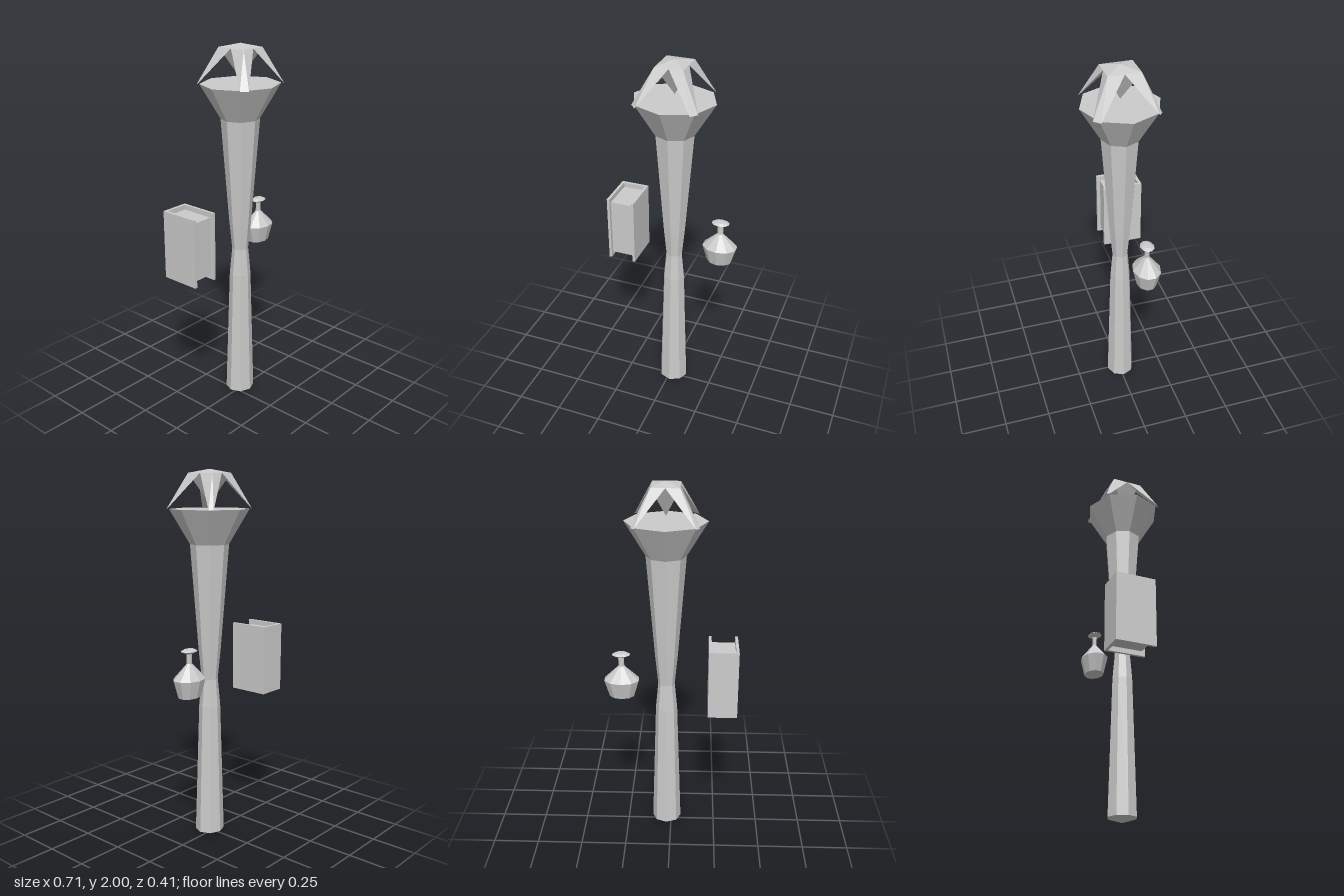
import * as THREE from 'three';
import { ConvexGeometry } from 'three/addons/geometries/ConvexGeometry.js';

const material = new THREE.MeshStandardMaterial({ color: 0xcccccc, flatShading: true, side: THREE.DoubleSide });

function part(name, geometry, x = 0, y = 0, z = 0) {
  const mesh = new THREE.Mesh(geometry, material);
  mesh.name = name;
  mesh.position.set(x, y, z);
  return mesh;
}

// Faceted turned shape from [radius, height] pairs
function turned(profile, sides) {
  return new THREE.LatheGeometry(profile.map(([r, y]) => new THREE.Vector2(r, y)), sides);
}

function hull(points) {
  return new ConvexGeometry(points.map((p) => new THREE.Vector3(...p)));
}

function createStaff() {
  const staff = new THREE.Group();
  staff.name = 'staff';
  staff.position.x = 0.025;

  // Octagonal shaft flaring into the flat-topped head
  const shaft = part('shaft', turned([
    [0, 0], [0.081, 0.025], [0.059, 0.75], [0.045, 0.9],
    [0.061, 1.06], [0.105, 1.62], [0.214, 1.8], [0, 1.8],
  ], 8));
  shaft.scale.z = 0.95;
  staff.add(shaft);

  // Pyramid cap with a spike hanging below
  const w = 0.072, d = 0.083, top = 1.98;
  staff.add(part('cap', hull([
    [0, 2, 0], [0, 1.825, 0],
    [w, top, d], [w, top, -d], [-w, top, d], [-w, top, -d],
  ])));

  // Four corner struts, wide under the cap and narrow at the foot
  for (const sx of [-1, 1]) {
    for (const sz of [-1, 1]) {
      const out = sz > 0 ? 0.174 : 0.16;
      const inner = sz > 0 ? 0.138 : 0.15;
      staff.add(part('cageStrut', hull([
        [sx * w, top, sz * d], [0, top, sz * d], [sx * w, top, 0],
        [sx * 0.168, 1.8, sz * 0.142], [sx * inner, 1.8, sz * out],
      ])));
    }
  }
  return staff;
}

function createBook() {
  const book = new THREE.Group();
  book.name = 'book';
  book.position.set(-0.278, 0.983, 0);
  for (const side of [-1, 1]) {
    book.add(part('cover', new THREE.BoxGeometry(0.015, 0.375, 0.218), side * 0.07, 0, -0.085));
  }
  book.add(part('spine', new THREE.BoxGeometry(0.14, 0.375, 0.016), 0, 0, -0.186));
  book.add(part('pages', new THREE.BoxGeometry(0.126, 0.322, 0.184), 0, 0, -0.087));
  return book;
}

function createBottle() {
  const bottle = part('bottle', turned([
    [0, 0.86], [0.068, 0.86], [0.097, 0.955], [0.022, 1.028], [0.016, 1.035],
    [0.016, 1.086], [0.03, 1.09], [0.049, 1.1], [0.03, 1.11], [0, 1.112],
  ], 10), 0.262, 0, -0.071);
  bottle.scale.z = 0.76;
  return bottle;
}

export function createModel() {
  const model = new THREE.Group();
  model.name = 'staffBookAndBottle';
  model.add(createStaff(), createBook(), createBottle());
  return model;
}
